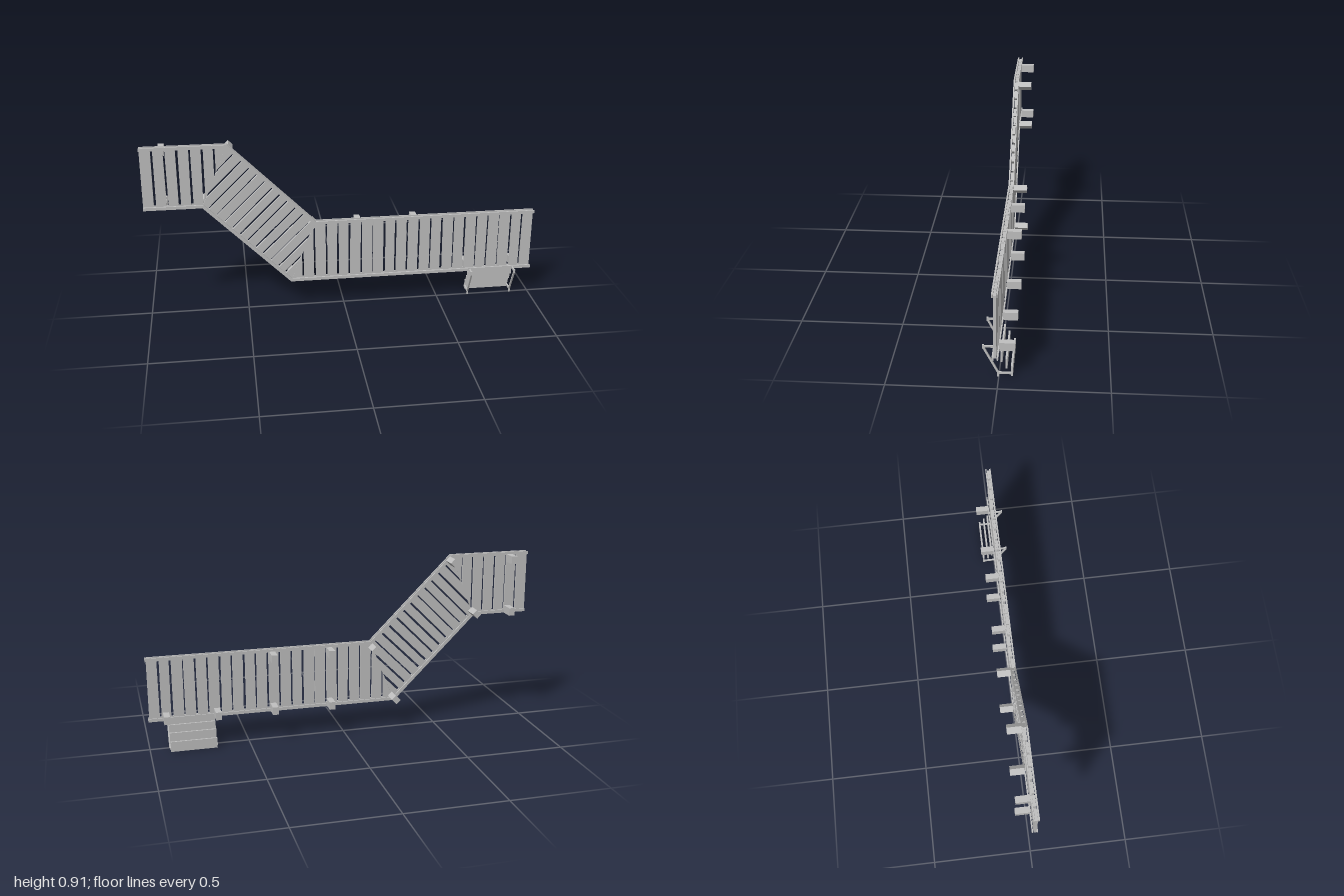
import * as THREE from 'three';

const mat = new THREE.MeshStandardMaterial({ color: 0xc0c0c0 });
mat.name = 'grey wood';

// small seeded generator for uneven planks
let seed = 7;
const rnd = () => (seed = (seed * 16807) % 2147483647) / 2147483647;

function plate(name, pts, z0, z1) {
  const shape = new THREE.Shape(pts.map(p => new THREE.Vector2(p[0], p[1])));
  const geo = new THREE.ExtrudeGeometry(shape, { depth: z1 - z0, bevelEnabled: false });
  geo.translate(0, 0, z0);
  const mesh = new THREE.Mesh(geo, mat);
  mesh.name = name;
  return mesh;
}

function box(name, w, h, d, x, y, z) {
  const mesh = new THREE.Mesh(new THREE.BoxGeometry(w, h, d), mat);
  mesh.name = name;
  mesh.position.set(x, y, z);
  return mesh;
}

// clip a polygon to a convex counter-clockwise outline
function clip(poly, outline) {
  outline.forEach((a, i) => {
    const b = outline[(i + 1) % outline.length];
    const side = p => (b[0] - a[0]) * (p[1] - a[1]) - (b[1] - a[1]) * (p[0] - a[0]);
    const out = [];
    poly.forEach((p, j) => {
      const q = poly[(j + 1) % poly.length];
      const sp = side(p), sq = side(q);
      if (sp >= 0) out.push(p);
      if (sp * sq < 0) {
        const t = sp / (sp - sq);
        out.push([p[0] + (q[0] - p[0]) * t, p[1] + (q[1] - p[1]) * t]);
      }
    });
    poly = out;
  });
  return poly;
}

// planks laid across one section, cut to its outline
function planks(name, outline, pitch) {
  const group = new THREE.Group();
  group.name = name;
  const [o, e] = outline;
  const len = Math.hypot(e[0] - o[0], e[1] - o[1]);
  const u = [(e[0] - o[0]) / len, (e[1] - o[1]) / len];
  const at = (s, t) => [o[0] + u[0] * s - u[1] * t, o[1] + u[1] * s + u[0] * t];
  const total = Math.max(...outline.map(p => (p[0] - o[0]) * u[0] + (p[1] - o[1]) * u[1]));
  const start = Math.min(...outline.map(p => (p[0] - o[0]) * u[0] + (p[1] - o[1]) * u[1]));
  const n = Math.round((total - start) / pitch);
  const step = (total - start) / n;
  for (let i = 0; i < n; i++) {
    const s = start + i * step;
    const g = () => 0.001 + rnd() * 0.007;
    const quad = [at(s + g(), -0.1), at(s + step - g(), -0.1), at(s + step - g(), 0.5), at(s + g(), 0.5)];
    const poly = clip(quad, outline);
    const dz = (rnd() - 0.5) * 0.003;
    if (poly.length > 2) group.add(plate('plank', poly, 0.002 + dz, 0.015 + dz));
  }
  return group;
}

export function createModel() {
  const model = new THREE.Group();
  model.name = 'boardwalk';

  // edge rails: a front and a back board along both edges
  const low = [[-1, 0.583], [-0.71, 0.583], [-0.277, 0.148], [1, 0.148]];
  const high = [[-1, 0.908], [-0.575, 0.908], [-0.145, 0.478], [1, 0.478]];
  const w = 0.016, m = w * Math.tan(Math.PI / 8);
  const inset = (path, s) => path.map(([x, y], i) => [x + (i === 1 || i === 2 ? s * m : 0), y + s * w]);
  for (const [path, s, label] of [[low, 1, 'lower'], [high, -1, 'upper']]) {
    const outline = [...path, ...inset(path, s).reverse()];
    model.add(plate(label + 'FrontRail', outline, 0.016, 0.024));
    model.add(plate(label + 'BackRail', outline, -0.005, 0.001));
  }

  // plank decking in three mitred sections
  const b = low.map(([x, y], i) => [x + (i % 3 ? 0.003 : 0), y + 0.008]);
  const t = high.map(([x, y], i) => [x - (i % 3 ? 0.003 : 0), y - 0.008]);
  ['topDeck', 'slopeDeck', 'longDeck'].forEach((name, i) =>
    model.add(planks(name, [b[i], b[i + 1], t[i + 1], t[i]], i === 1 ? 0.052 : 0.06)));

  // support posts behind the rails, turned at the corners
  const posts = [
    [-0.895, 0.878], [-0.895, 0.603], [0.075, 0.446], [0.075, 0.172],
    [0.37, 0.446], [0.37, 0.172], [0.658, 0.172], [0.912, 0.172],
    [-0.57, 0.878, 1], [-0.7, 0.603, 1], [-0.267, 0.172, 1], [-0.157, 0.446, 1],
  ];
  for (const [x, y, turned] of posts) {
    const post = box('post', 0.03, turned ? 0.036 : 0.04, 0.07, x, y, -0.038);
    if (turned) post.rotation.z = -Math.PI / 4;
    model.add(post);
  }

  // stair treads
  const stairs = new THREE.Group();
  stairs.name = 'stairs';
  [[0.01, 0.14], [-0.0125, 0.102], [-0.034, 0.067], [-0.0585, 0.029]].forEach(([z, y]) =>
    stairs.add(box('tread', 0.232, 0.052, 0.009, 0.785, y, z)));

  // stair handrails, one at each side
  const bar = (x, z0, y0, z1, y1) => {
    const len = Math.hypot(z1 - z0, y1 - y0);
    const mesh = box('handrailBar', 0.008, 0.009, len, x, (y0 + y1) / 2, (z0 + z1) / 2);
    mesh.rotation.x = -Math.atan2(y1 - y0, z1 - z0);
    stairs.add(mesh);
  };
  for (const x of [0.67, 0.901]) {
    bar(x, 0, 0.156, 0.069, 0.156);
    bar(x, 0.069, 0.152, 0.003, 0.021);
    bar(x, -0.06, 0.019, 0.003, 0.019);
    stairs.add(box('handrailEnd', 0.008, 0.02, 0.008, x, 0.155, 0.069));
    stairs.add(box('handrailFoot', 0.008, 0.026, 0.008, x, 0.014, 0.003));
  }
  model.add(stairs);
  return model;
}
